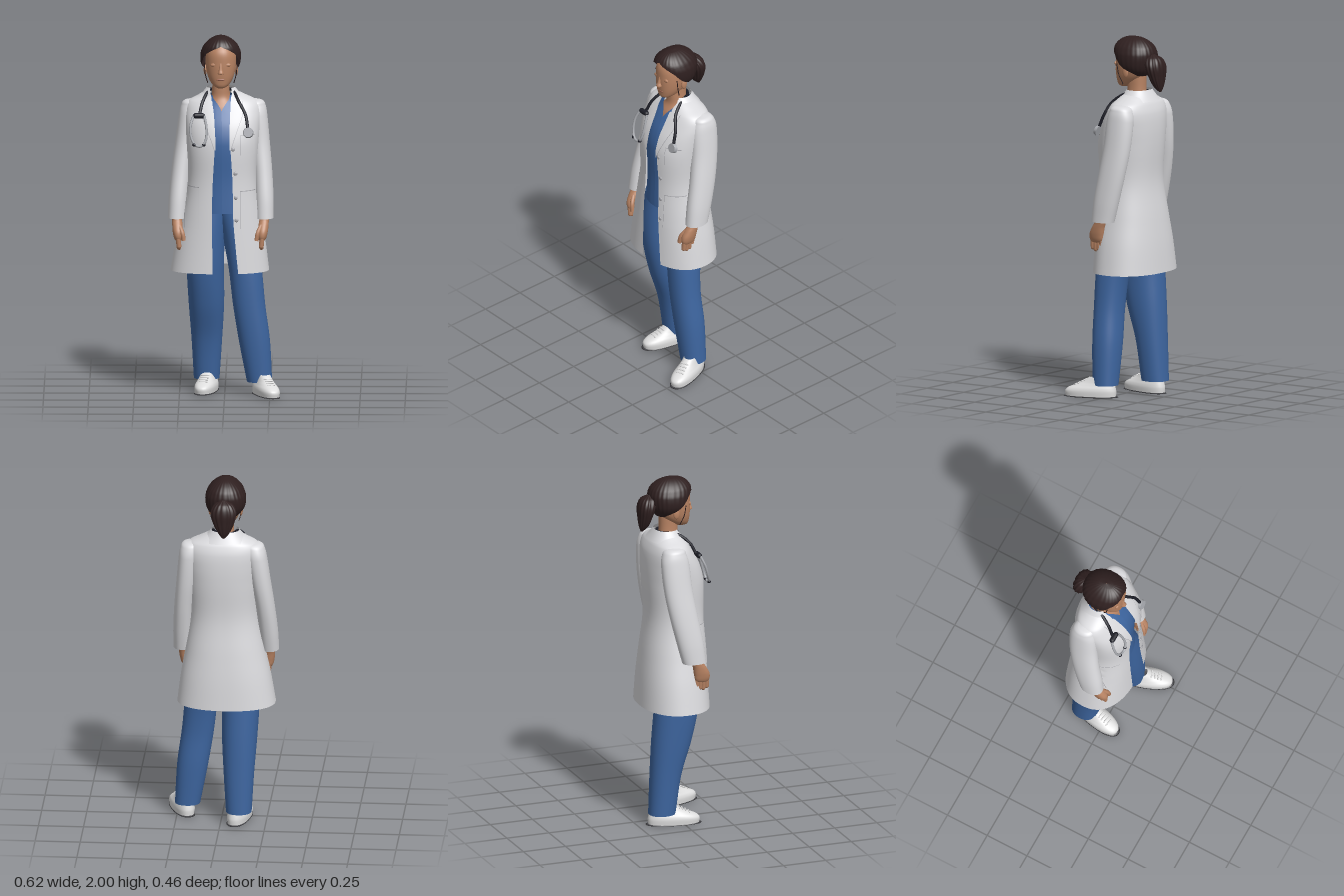
import * as THREE from 'three';

const material = (name, color) => new THREE.MeshStandardMaterial({ name, color, side: THREE.DoubleSide });
const V = (x, y, z) => new THREE.Vector3(x, y, z);

// Smooth interpolation of rows [y, x0, x1, z0, z1, ...] at height y
function sample(rows, y) {
  let k = 0;
  while (k < rows.length - 2 && y > rows[k + 1][0]) k++;
  const p = rows[k], q = rows[k + 1], h = q[0] - p[0], t = (y - p[0]) / h;
  const before = rows[Math.max(0, k - 1)], after = rows[Math.min(rows.length - 1, k + 2)];
  return p.map((v, c) => {
    if (c === 0) return y;
    const m0 = (q[c] - before[c]) / (q[0] - before[0]) * h;
    const m1 = (after[c] - v) / (after[0] - p[0]) * h;
    const t2 = t * t, t3 = t2 * t;
    return (2 * t3 - 3 * t2 + 1) * v + (t3 - 2 * t2 + t) * m0 + (3 * t2 - 2 * t3) * q[c] + (t3 - t2) * m1;
  });
}

// Triangulated grid of points; rows run upwards, columns rightwards as seen from outside
function grid(points, cols, closed) {
  const index = [], n = points.length / cols;
  for (let i = 0; i < n - 1; i++) for (let j = 0; j < (closed ? cols : cols - 1); j++) {
    const k = (j + 1) % cols, a = i * cols + j, b = i * cols + k;
    index.push(a, b, a + cols, b, b + cols, a + cols);
  }
  const g = new THREE.BufferGeometry().setFromPoints(points);
  g.setIndex(index);
  g.computeVertexNormals();
  return g;
}

// Stacked rounded sections; columns 5 and 6 are the angles left open at the front
function loft(rows, { seg = 40, steps = 6, e = 0.9, ripple = 0, waves = 20 } = {}) {
  const closed = rows[0].length < 6, points = [], cols = closed ? seg : seg + 1;
  const pw = v => Math.sign(v) * Math.abs(v) ** e;
  for (let i = 0; i <= (rows.length - 1) * steps; i++) {
    const k = Math.min(Math.floor(i / steps), rows.length - 2);
    const y = rows[k][0] + (rows[k + 1][0] - rows[k][0]) * (i / steps - k);
    const [, x0, x1, z0, z1, aL = 0, aR = 0] = sample(rows, y);
    const s = Math.max(0, aL), end = Math.PI * 2 - Math.max(0, aR);
    for (let j = 0; j < cols; j++) {
      const a = s + (end - s) * j / seg, r = 1 + ripple * Math.cos(a * waves);
      points.push(V((x0 + x1) / 2 + (x1 - x0) / 2 * pw(Math.sin(a)) * r, y,
        (z0 + z1) / 2 + (z1 - z0) / 2 * pw(Math.cos(a)) * r));
    }
  }
  return grid(points, cols, closed);
}

// Coat sections, followed by the x of the right and left front edges
const E = 0.87;
const COAT = [
  [0.69, -0.3, 0.245, -0.225, 0.157, -0.065, 0.076], [0.85, -0.272, 0.225, -0.215, 0.151, -0.068, 0.06],
  [1.0, -0.24, 0.2, -0.2, 0.146, -0.07, 0.048], [1.2, -0.205, 0.175, -0.178, 0.138, -0.065, 0.044],
  [1.4, -0.213, 0.188, -0.188, 0.138, -0.054, 0.032], [1.5, -0.22, 0.197, -0.19, 0.112, -0.058, 0.032],
  [1.58, -0.22, 0.2, -0.184, 0.07, -0.064, 0.035], [1.63, -0.202, 0.18, -0.168, 0.04, -0.072, 0.035],
  [1.66, -0.148, 0.12, -0.15, 0.02, -0.074, 0.035], [1.69, -0.1, 0.055, -0.128, 0.0, -0.076, 0.033]];

// Depth of the coat's front surface
function frontZ(x, y) {
  const [, x0, x1, z0, z1] = sample(COAT, y);
  const u = Math.min(1, Math.abs((x - (x0 + x1) / 2) / ((x1 - x0) / 2)));
  return (z0 + z1) / 2 + (z1 - z0) / 2 * (1 - u ** (2 / E)) ** (E / 2);
}

// Thin sheet lying on the coat front between two edges given by height
function patch(y0, y1, left, right, off = 0.005) {
  const points = [];
  for (let i = 0; i <= 12; i++) for (let j = 0; j <= 8; j++) {
    const y = y0 + (y1 - y0) * i / 12, a = left(y), x = a + (right(y) - a) * j / 8;
    points.push(V(x, y, frontZ(x, y) + off));
  }
  return grid(points, 9, false);
}

export function createModel() {
  const model = new THREE.Group();
  model.name = 'doctor';
  const coat = material('coat white', 0xdadadd), seam = material('seam grey', 0xacacb1);
  const scrubs = material('scrubs blue', 0x3d659f), skin = material('skin', 0xb88363);
  const lip = material('lip', 0xa36a55), hair = material('hair brown', 0x2f2020);
  const rubber = material('rubber black', 0x1d1e27), metal = material('metal', 0xa6a8ad);
  const shoe = material('shoe white', 0xdedede), sole = material('sole grey', 0x46464a);
  const add = (name, geometry, mat, parent = model) => {
    const m = new THREE.Mesh(geometry, mat);
    m.name = name;
    parent.add(m);
    return m;
  };
  const ball = (name, mat, p, s) => {
    const m = add(name, new THREE.SphereGeometry(1, 20, 14), mat);
    m.position.set(...p);
    m.scale.set(...s);
  };
  const tube = (name, pts, r, mat) => add(name,
    new THREE.TubeGeometry(new THREE.CatmullRomCurve3(pts.map(p => V(...p))), 48, r, 8), mat);

  // Legs and shoes
  add('leftTrouser', loft([[0.07, 0.122, 0.262, -0.06, 0.078], [0.3, 0.078, 0.25, -0.065, 0.095],
    [0.5, 0.046, 0.224, -0.06, 0.103], [0.7, 0.022, 0.205, -0.08, 0.105], [0.87, -0.01, 0.18, -0.13, 0.1],
    [1.05, -0.05, 0.14, -0.15, 0.09]]), scrubs);
  add('rightTrouser', loft([[0.07, -0.172, -0.03, -0.195, -0.045], [0.3, -0.185, -0.015, -0.185, -0.01],
    [0.5, -0.2, -0.004, -0.175, 0.05], [0.7, -0.21, -0.004, -0.16, 0.09], [0.87, -0.205, 0.0, -0.15, 0.1],
    [1.05, -0.18, 0.02, -0.15, 0.09]]), scrubs);
  for (const [side, x, z, turn] of [['left', 0.229, 0.083, 0.34], ['right', -0.102, -0.05, -0.2]]) {
    const g = new THREE.Group();
    g.name = side + 'Shoe';
    g.position.set(x, 0, z);
    g.rotation.y = turn;
    model.add(g);
    add('sole', loft([[0, -0.001, 0.001, -0.001, 0.001], [0.001, -0.05, 0.05, -0.138, 0.136],
      [0.009, -0.055, 0.055, -0.143, 0.142]], { steps: 3, e: 0.85 }), sole, g);
    add('upper', loft([[0.008, -0.056, 0.056, -0.144, 0.143], [0.035, -0.058, 0.058, -0.145, 0.145],
      [0.052, -0.055, 0.055, -0.142, 0.128], [0.068, -0.048, 0.048, -0.138, 0.09],
      [0.085, -0.042, 0.042, -0.136, 0.05], [0.115, -0.036, 0.036, -0.134, 0.005]], { e: 0.85 }), shoe, g);
    for (let i = 0; i < 4; i++) {
      const lace = add('lace', new THREE.CapsuleGeometry(0.004, 0.04, 4, 8), shoe, g);
      lace.position.set(0, 0.07 + i * 0.009, 0.084 - i * 0.018);
      lace.rotation.z = Math.PI / 2;
    }
  }

  // Scrub top with a V neck, over the chest and neck
  add('scrubTop', loft([[1.02, -0.17, 0.14, -0.16, 0.115, 0, 0], [1.2, -0.155, 0.125, -0.15, 0.11, 0, 0],
    [1.4, -0.165, 0.135, -0.16, 0.115, 0, 0], [1.5, -0.165, 0.135, -0.16, 0.094, 0, 0],
    [1.585, -0.15, 0.115, -0.15, 0.052, 0, 0], [1.63, -0.12, 0.085, -0.14, 0.024, 0.24, 0.24],
    [1.665, -0.085, 0.045, -0.13, 0.006, 0.75, 0.75]]), scrubs);
  add('neck', loft([[1.54, -0.13, 0.09, -0.12, 0.05], [1.6, -0.115, 0.075, -0.12, 0.032],
    [1.65, -0.078, 0.034, -0.112, 0.004], [1.7, -0.07, 0.026, -0.105, 0.0], [1.78, -0.07, 0.026, -0.105, 0.0]]), skin);

  // Coat body, open down the front
  const open = COAT.map(([y, x0, x1, z0, z1, r, l]) => {
    const c = (x0 + x1) / 2, h = (x1 - x0) / 2, angle = x => Math.asin(Math.min(1, Math.abs(x - c) / h) ** (1 / E));
    return [y, x0, x1, z0, z1, angle(l), angle(r)];
  });
  add('coat', loft(open, { seg: 72, e: E }), coat);
  add('collar', loft([[1.645, -0.155, 0.12, -0.168, 0.03, 0.5, 0.5], [1.675, -0.124, 0.082, -0.15, 0.014, 0.62, 0.62],
    [1.705, -0.1, 0.055, -0.132, -0.004, 0.8, 0.8]]), coat);
  const edge = (c, y) => sample(COAT, y)[c];
  const flare = y => 0.062 * Math.min(1, Math.max(0, (y - 1.38) / 0.18));
  add('rightLapel', patch(1.38, 1.64, y => edge(5, y) - flare(y), y => edge(5, y) + 0.004, 0.008), coat);
  add('leftLapel', patch(1.38, 1.64, y => edge(6, y) - 0.004, y => edge(6, y) + flare(y), 0.008), coat);
  add('rightLapelSeam', patch(1.38, 1.64, y => edge(5, y) - flare(y) - 0.003, y => edge(5, y) - flare(y), 0.006), seam);
  add('leftLapelSeam', patch(1.38, 1.64, y => edge(6, y) + flare(y), y => edge(6, y) + flare(y) + 0.003, 0.006), seam);
  for (const [name, x0, x1, y0, y1] of [['rightPocket', -0.225, -0.14, 0.94, 1.17],
    ['leftPocket', 0.085, 0.18, 0.94, 1.15], ['chestPocket', 0.085, 0.165, 1.35, 1.46]]) {
    add(name, patch(y0, y1, () => x0, () => x1, 0.004), coat);
    add(name + 'Hem', patch(y1 - 0.003, y1 + 0.001, () => x0, () => x1, 0.006), seam);
    add(name + 'Side', patch(y0, y1, () => x0, () => x0 + 0.002, 0.005), seam);
  }
  for (const [x, y] of [[0.047, 1.385], [0.06, 1.25], [0.062, 1.115], [0.066, 0.99]])
    ball('button', seam, [x, y, frontZ(x, y) + 0.004], [0.011, 0.011, 0.005]);

  // Sleeves and hands
  for (const side of ['right', 'left']) {
    const mx = (x, y) => side === 'right' ? x : -x - 0.045 + 0.03 * (y - 1) / 0.65;
    const place = rows => rows.map(([y, a, b, z0, z1]) => {
      const p = mx(a, y), q = mx(b, y);
      return [y, Math.min(p, q), Math.max(p, q), z0, z1];
    });
    add(side + 'Sleeve', loft(place([[0.985, -0.315, -0.215, -0.06, 0.075], [1.1, -0.31, -0.205, -0.09, 0.062],
      [1.25, -0.295, -0.19, -0.125, 0.035], [1.4, -0.275, -0.165, -0.15, 0.012], [1.55, -0.254, -0.14, -0.158, 0.0],
      [1.605, -0.241, -0.13, -0.146, -0.014], [1.63, -0.222, -0.13, -0.125, -0.03],
      [1.64, -0.175, -0.165, -0.085, -0.08]])), coat);
    add(side + 'Hand', loft(place([[0.86, -0.262, -0.252, 0.05, 0.07], [0.872, -0.277, -0.236, 0.02, 0.096],
      [0.91, -0.287, -0.23, 0.01, 0.1], [0.95, -0.29, -0.232, 0.004, 0.08], [0.98, -0.29, -0.236, -0.004, 0.06],
      [1.05, -0.29, -0.235, -0.02, 0.04]])), skin);
    for (let i = 0; i < 4; i++) {
      const len = [0.055, 0.064, 0.06, 0.045][i];
      const finger = add('finger', new THREE.CapsuleGeometry(0.0135, len, 5, 10), skin);
      finger.position.set(mx(-0.255, 0.89), 0.89 - len / 2, 0.086 - i * 0.0195);
      finger.rotation.z = side === 'right' ? 0.1 : -0.1;
    }
    tube(side + 'Thumb', [[mx(-0.25, 0.95), 0.95, 0.065], [mx(-0.233, 0.91), 0.91, 0.09],
      [mx(-0.226, 0.87), 0.868, 0.094]], 0.012, skin);
  }

  // Head and face
  add('head', loft([[1.712, -0.035, -0.01, 0.025, 0.045], [1.722, -0.058, 0.014, -0.02, 0.06],
    [1.75, -0.082, 0.038, -0.07, 0.067], [1.79, -0.098, 0.054, -0.11, 0.071], [1.85, -0.106, 0.062, -0.14, 0.072],
    [1.91, -0.1, 0.056, -0.14, 0.066], [1.96, -0.07, 0.026, -0.1, 0.035]]), skin);
  add('nose', loft([[1.792, -0.026, -0.018, 0.06, 0.075], [1.798, -0.038, -0.006, 0.05, 0.09],
    [1.82, -0.033, -0.011, 0.05, 0.083], [1.86, -0.03, -0.014, 0.05, 0.071]]), skin);
  ball('lips', lip, [-0.022, 1.764, 0.065], [0.024, 0.007, 0.006]);
  for (const s of [-1, 1]) {
    ball('eyelid', skin, [-0.022 + s * 0.034, 1.845, 0.058], [0.022, 0.012, 0.0085]);
    ball('ear', skin, [-0.022 + s * 0.086, 1.805, -0.035], [0.009, 0.03, 0.018]);
    tube('looseStrand', [[-0.022 + s * 0.09, 1.85, 0.02], [-0.022 + s * 0.086, 1.79, 0.01],
      [-0.022 + s * 0.072, 1.735, -0.01]], 0.0025, hair);
  }

  // Hair swept back from a centre parting into a ponytail
  add('hair', loft([[1.785, -0.085, 0.04, -0.125, 0.0, 2.1, 2.1], [1.815, -0.116, 0.072, -0.145, 0.04, 1.6, 1.6],
    [1.85, -0.133, 0.086, -0.158, 0.062, 1.2, 1.2], [1.9, -0.133, 0.088, -0.165, 0.074, 0.82, 0.82],
    [1.93, -0.122, 0.078, -0.158, 0.077, 0.4, 0.4], [1.95, -0.11, 0.066, -0.146, 0.071, 0, 0],
    [1.975, -0.084, 0.04, -0.118, 0.05, 0, 0], [1.993, -0.052, 0.008, -0.08, 0.014, 0, 0],
    [2.0, -0.023, -0.021, -0.035, -0.033, 0, 0]], { seg: 120, ripple: 0.009, waves: 26 }), hair);
  add('ponytail', loft([[1.7, -0.03, -0.015, -0.215, -0.205], [1.73, -0.055, 0.008, -0.222, -0.175],
    [1.78, -0.078, 0.034, -0.226, -0.155], [1.84, -0.09, 0.05, -0.226, -0.135], [1.885, -0.07, 0.03, -0.208, -0.125],
    [1.908, -0.03, -0.01, -0.17, -0.14]], { seg: 80, ripple: 0.04, waves: 14 }), hair);
  const band = add('hairTie', new THREE.TorusGeometry(0.036, 0.011, 10, 24), hair);
  band.position.set(-0.021, 1.855, -0.15);

  // Stethoscope hung round the neck, tucked under the collar at the back
  const on = (x, y, off = 0.014) => [x, y, frontZ(x, y) + off];
  tube('stethoscopeTube', [on(0.128, 1.5), on(0.115, 1.57), on(0.08, 1.635), [0.048, 1.685, -0.03], [0.022, 1.69, -0.095],
    [-0.022, 1.69, -0.118], [-0.066, 1.69, -0.095], [-0.092, 1.685, -0.03], on(-0.122, 1.635), on(-0.138, 1.575)], 0.0085, rubber);
  const yoke = add('stethoscopeYoke', new THREE.CapsuleGeometry(0.015, 0.038, 5, 12), rubber);
  yoke.position.set(-0.142, 1.565, 0.08);
  yoke.rotation.z = Math.PI / 2;
  tube('earTubes', [[-0.172, 1.565, 0.082], [-0.188, 1.51, 0.105], [-0.184, 1.45, 0.122], [-0.162, 1.41, 0.134],
    [-0.132, 1.402, 0.137], [-0.106, 1.43, 0.132], [-0.1, 1.5, 0.112], [-0.112, 1.565, 0.086]], 0.007, metal);
  for (const x of [-0.168, -0.116]) ball('earTip', rubber, [x, 1.41, 0.135], [0.011, 0.009, 0.009]);
  const chest = add('chestPiece', new THREE.CylinderGeometry(0.026, 0.03, 0.018, 28), metal);
  chest.position.set(...on(0.13, 1.475, 0.018));
  chest.rotation.x = Math.PI / 2 - 0.25;

  return model;
}
